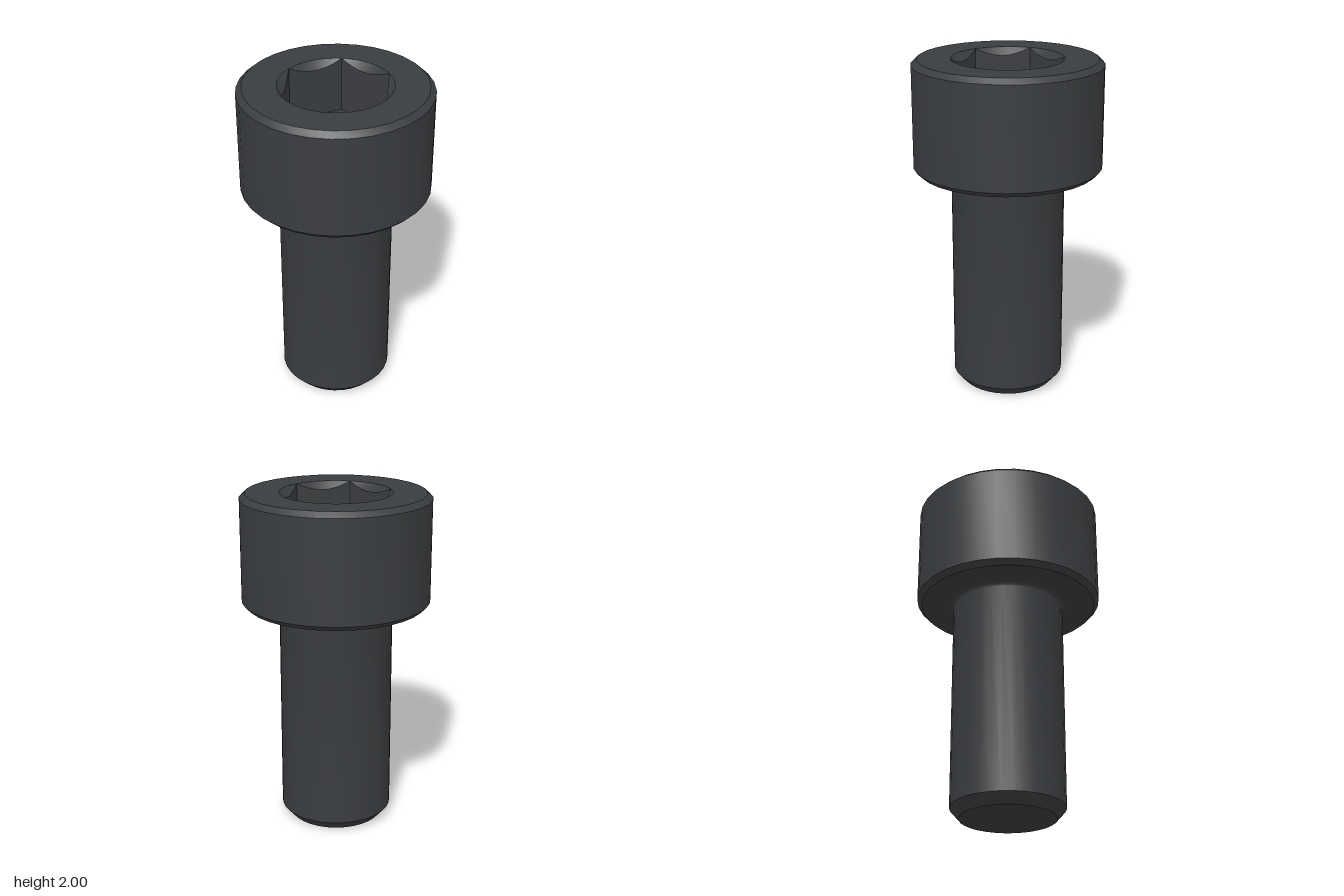
import * as THREE from 'three';
import { toCreasedNormals } from 'three/addons/utils/BufferGeometryUtils.js';

const SIDES = 32;
const CREASE = 0.5;
const HEAD_TOP = 2, HEAD_BOTTOM = 1.34, HEAD_R = 0.555, RIM_R = 0.522, BEVEL = 0.03;
const SHANK_R = 0.333, FILLET = 0.03;
const SOCKET_R = 0.327, SOCKET_FLOOR = 1.67, SOCKET_STEPS = 48;

const material = new THREE.MeshStandardMaterial({ color: 0x3a3d40 });

function addPart(group, name, geometry) {
  const mesh = new THREE.Mesh(toCreasedNormals(geometry, CREASE), material);
  mesh.name = name;
  group.add(mesh);
}

const lathe = (profile) =>
  new THREE.LatheGeometry(profile.map(([x, y]) => new THREE.Vector2(x, y)), SIDES);

const circlePoints = (radius, count) =>
  Array.from({ length: count }, (_, i) => {
    const a = (i / count) * Math.PI * 2;
    return new THREE.Vector2(radius * Math.cos(a), radius * Math.sin(a));
  });

// Hexagonal recess: 45 degree countersink scalloped by the flats, walls and floor
function socketGeometry() {
  const positions = [];
  const sector = Math.PI / 3;
  const column = (i) => {
    const a = ((i % SOCKET_STEPS) / SOCKET_STEPS) * Math.PI * 2;
    const r = (SOCKET_R * Math.cos(sector / 2)) / Math.cos((a % sector) - sector / 2);
    const at = (radius, y) => [radius * Math.cos(a), y, -radius * Math.sin(a)];
    return [at(SOCKET_R, HEAD_TOP), at(r, HEAD_TOP - (SOCKET_R - r)), at(r, SOCKET_FLOOR)];
  };
  const triangle = (...corners) => corners.forEach((p) => positions.push(...p));
  for (let i = 0; i < SOCKET_STEPS; i++) {
    const p = column(i), q = column(i + 1);
    for (let k = 0; k < 2; k++) {
      triangle(p[k], q[k], q[k + 1]);
      triangle(p[k], q[k + 1], p[k + 1]);
    }
    triangle([0, SOCKET_FLOOR, 0], p[2], q[2]);
  }
  const geometry = new THREE.BufferGeometry();
  geometry.setAttribute('position', new THREE.Float32BufferAttribute(positions, 3));
  return geometry;
}

export function createModel() {
  const screw = new THREE.Group();
  screw.name = 'socketHeadScrew';

  // Shank with chamfered tip and a fillet running into the head
  const shank = [[0, 0], [0.28, 0], [SHANK_R, 0.06]];
  for (let i = 0; i <= 4; i++) {
    const a = (i / 4) * Math.PI / 2;
    shank.push([
      SHANK_R + FILLET * (1 - Math.cos(a)),
      HEAD_BOTTOM - FILLET * (1 - Math.sin(a)),
    ]);
  }
  addPart(screw, 'shank', lathe(shank));

  // Head underside, side wall and both bevels
  addPart(screw, 'head', lathe([
    [SHANK_R + FILLET, HEAD_BOTTOM],
    [HEAD_R - BEVEL, HEAD_BOTTOM],
    [HEAD_R, HEAD_BOTTOM + BEVEL],
    [HEAD_R, HEAD_TOP - BEVEL],
    [RIM_R, HEAD_TOP],
  ]));

  // Flat ring on top, around the socket
  const ring = new THREE.Shape(circlePoints(RIM_R, SIDES));
  ring.holes.push(new THREE.Path(circlePoints(SOCKET_R, SOCKET_STEPS)));
  addPart(screw, 'headTop',
    new THREE.ShapeGeometry(ring).rotateX(-Math.PI / 2).translate(0, HEAD_TOP, 0));

  addPart(screw, 'hexSocket', socketGeometry());
  return screw;
}
